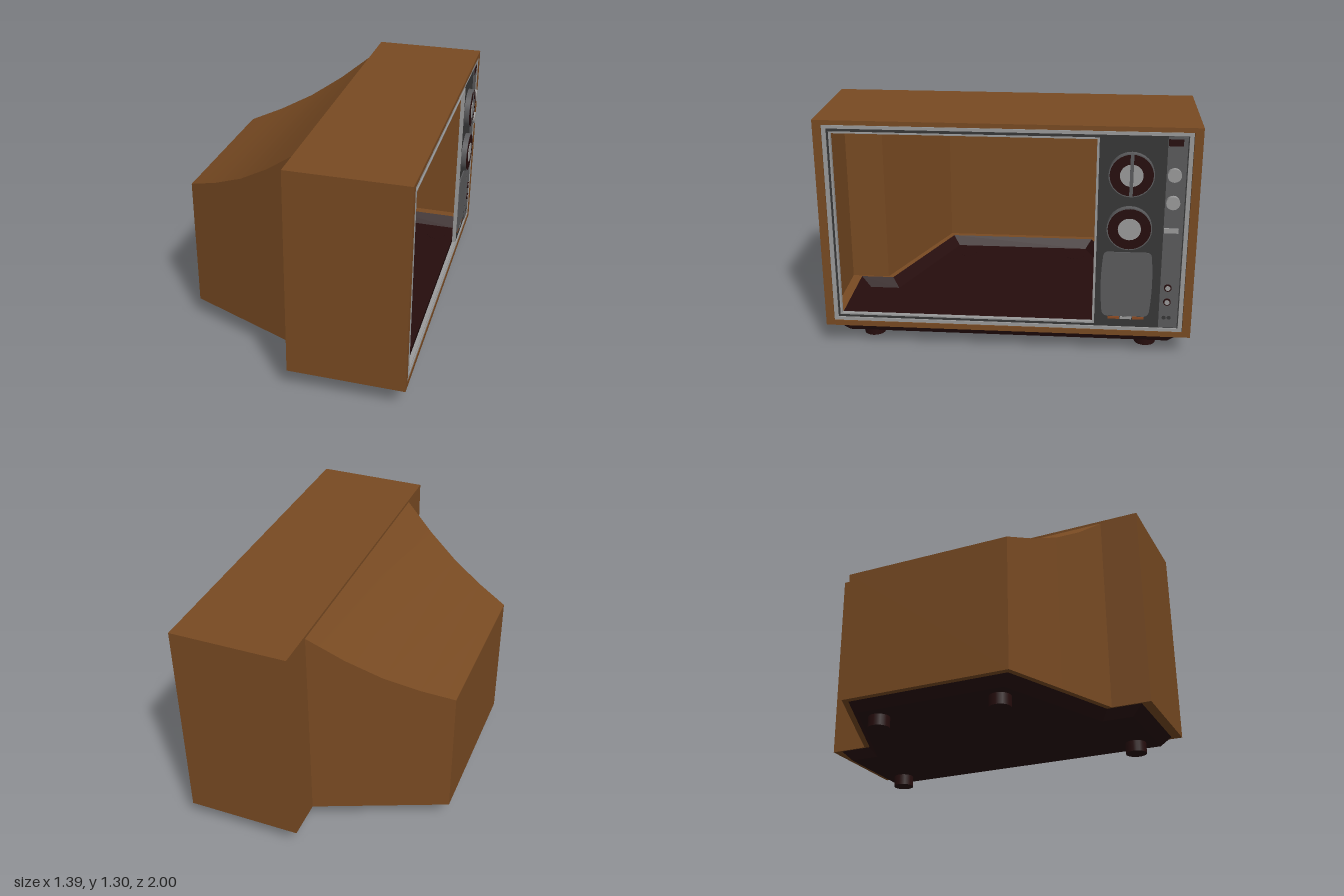
import * as THREE from 'three';

const mat = (name, color, side = THREE.FrontSide) => {
  const m = new THREE.MeshStandardMaterial({ color, side });
  m.name = name;
  return m;
};

export function createModel() {
  const wood = mat('wood', 0x784a22, THREE.DoubleSide);
  const maroon = mat('dark maroon', 0x260d0d, THREE.DoubleSide);
  const charcoal = mat('charcoal', 0x373737);
  const grey = mat('mid grey', 0x5a5a5c);
  const silver = mat('silver', 0x9a9a9a);
  const orange = mat('burnt orange', 0x8a4a24);

  // Built with the screen facing +z, then turned to face +x
  const model = new THREE.Group();
  model.name = 'television';
  const tv = new THREE.Group();
  tv.name = 'televisionBody';
  tv.rotation.y = Math.PI / 2;
  model.add(tv);

  const add = (name, geo, material, x = 0, y = 0, z = 0) => {
    const m = new THREE.Mesh(geo, material);
    m.name = name;
    m.position.set(x, y, z);
    tv.add(m);
    return m;
  };
  const poly = (pts) => new THREE.Shape(pts.map(([x, y]) => new THREE.Vector2(x, y)));
  const rect = (x0, x1, y0, y1) => poly([[x0, y0], [x1, y0], [x1, y1], [x0, y1]]);
  const slab = (shape, depth) => new THREE.ExtrudeGeometry(shape, { depth, bevelEnabled: false, curveSegments: 8 });
  const frame = (name, o, w, z0, z1, material) => {
    const s = rect(...o);
    s.holes.push(rect(o[0] + w[0], o[1] - w[1], o[2] + w[2], o[3] - w[3]));
    return add(name, slab(s, z1 - z0), material, 0, 0, z0);
  };
  // Sheet between two polylines of equal length
  const sheet = (a, b, flat = false) => {
    const pos = [], idx = [];
    a.forEach((p, i) => pos.push(...p, ...b[i]));
    for (let i = 0; i < a.length - 1; i++) {
      const k = i * 2;
      idx.push(k, k + 1, k + 2, k + 1, k + 3, k + 2);
    }
    let g = new THREE.BufferGeometry();
    g.setAttribute('position', new THREE.Float32BufferAttribute(pos, 3));
    g.setIndex(idx);
    if (flat) g = g.toNonIndexed();
    g.computeVertexNormals();
    return g;
  };

  // Main cabinet walls
  const F = 0.665, M = 0.02, B = -0.695, Y0 = 0.12, Y1 = 1.3;
  add('cabinetWalls', sheet(
    [[-1, Y0, M], [-1, Y1, M], [1, Y1, M], [1, Y0, M]],
    [[-1, Y0, F], [-1, Y1, F], [1, Y1, F], [1, Y0, F]], true), wood);
  add('cabinetBack', new THREE.ShapeGeometry(poly([
    [-1, Y0], [-0.78, Y0], [-0.78, 1.285], [0.78, 1.285], [0.78, Y0], [1, Y0], [1, Y1], [-1, Y1]])), wood, 0, 0, M);
  frame('cabinetRim', [-1, 1, Y0, Y1], [0.045, 0.045, 0.03, 0.025], 0.635, F, wood);

  // Tapered rear housing with a swept top
  const profile = [[M, 1.285], [-0.16, 1.145], [-0.34, 1.03], [-0.52, 0.945], [B, 0.88]];
  const half = (d) => 0.78 + (d - M) * 0.295 / (M - B);
  const edge = (s) => profile.map(([d, y]) => [s * half(d), y, d]);
  const foot = (s) => profile.map(([d]) => [s * half(d), Y0, d]);
  add('rearTop', sheet(edge(-1), edge(1)), wood);
  for (const s of [-1, 1]) add(s < 0 ? 'rearSideLeft' : 'rearSideRight', sheet(edge(s), foot(s)), wood);
  add('rearPanel', new THREE.ShapeGeometry(rect(-half(B), half(B), Y0, 0.88)), wood, 0, 0, B);

  // Underside lip and sunken base tray
  const outline = (front, mid, back, wide, neck, end) => {
    const r = [[wide, front], [wide, mid], [neck, mid], [end, back]];
    return [...r, ...r.map(([x, z]) => [-x, z]).reverse()];
  };
  const trayTop = outline(0.63, 0.03, -0.66, 0.945, 0.75, 0.465);
  const trayLow = outline(0.6, 0.06, -0.625, 0.885, 0.71, 0.425);
  const lip = poly(outline(F, M, B, 1, 0.78, half(B)));
  lip.holes.push(poly(trayTop));
  add('undersideLip', new THREE.ShapeGeometry(lip).rotateX(Math.PI / 2), wood, 0, Y0, 0);
  const loop = (pts, y) => [...pts, pts[0]].map(([x, z]) => [x, y, z]);
  add('trayWalls', sheet(loop(trayTop, Y0), loop(trayLow, 0.063), true), maroon);
  add('trayFloor', new THREE.ShapeGeometry(poly(trayLow)).rotateX(Math.PI / 2), maroon, 0, 0.063, 0);
  for (const s of [-1, 1]) {
    add('frontFoot', new THREE.CylinderGeometry(0.06, 0.06, 0.064, 20), maroon, s * 0.768, 0.032, 0.487);
    add('rearFoot', new THREE.CylinderGeometry(0.06, 0.06, 0.064, 20), maroon, s * 0.357, 0.032, -0.515);
  }

  // Front bezel, trims and control panel
  const O = [-0.955, 0.955, 0.15, 1.275];
  frame('bezel', O, [0.04, 0.48, 0.04, 0.04], 0.64, 0.655, charcoal);
  frame('outerTrim', [-0.953, 0.953, 0.152, 1.273], [0.022, 0.022, 0.018, 0.018], 0.65, 0.663, silver);
  frame('screenTrim', [-0.918, 0.48, 0.187, 1.238], [0.01, 0.012, 0.008, 0.008], 0.64, 0.662, silver);
  add('controlStrip', slab(rect(0.825, 0.925, 0.175, 1.25), 0.005), grey, 0, 0, 0.655);

  // Speaker panel with gently bowed sides
  const sp = new THREE.Shape();
  sp.moveTo(0.545, 0.235);
  sp.lineTo(0.745, 0.235);
  sp.quadraticCurveTo(0.77, 0.24, 0.773, 0.27);
  sp.quadraticCurveTo(0.79, 0.43, 0.773, 0.585);
  sp.quadraticCurveTo(0.77, 0.61, 0.745, 0.61);
  sp.lineTo(0.545, 0.61);
  sp.quadraticCurveTo(0.52, 0.61, 0.517, 0.585);
  sp.quadraticCurveTo(0.5, 0.43, 0.517, 0.27);
  sp.quadraticCurveTo(0.52, 0.24, 0.545, 0.235);
  add('speakerPanel', slab(sp, 0.006), grey, 0, 0, 0.655);
  [orange, silver, orange].forEach((m, i) =>
    add('badgeBar', new THREE.BoxGeometry(0.062, 0.014, 0.006), m, 0.583 + i * 0.066, 0.224, 0.657));

  // Round parts facing forward, placed by the depth of their back and front
  const disc = (name, r, x, y, z0, z1, m, seg = 32) =>
    add(name, new THREE.CylinderGeometry(r, r, z1 - z0, seg).rotateX(Math.PI / 2), m, x, y, (z0 + z1) / 2);

  // Two channel dials
  for (const y of [1.048, 0.753]) {
    disc('dialBody', 0.118, 0.647, y, 0.655, 0.686, grey);
    disc('dialFace', 0.112, 0.647, y, 0.684, 0.688, maroon);
    disc('dialCap', 0.06, 0.647, y, 0.684, 0.69, silver);
  }
  add('dialGrip', new THREE.BoxGeometry(0.018, 0.225, 0.01), grey, 0.647, 1.048, 0.687);

  // Small controls on the strip
  add('indicator', new THREE.BoxGeometry(0.075, 0.036, 0.006), maroon, 0.865, 1.22, 0.66);
  for (const y of [1.05, 0.9]) disc('smallKnob', 0.036, 0.865, y, 0.655, 0.682, silver, 20);
  add('slider', new THREE.BoxGeometry(0.075, 0.026, 0.014), silver, 0.865, 0.742, 0.662);
  for (const y of [0.413, 0.33]) {
    disc('jackRing', 0.02, 0.865, y, 0.655, 0.669, maroon, 16);
    disc('jackCentre', 0.014, 0.865, y, 0.668, 0.671, silver, 16);
  }
  for (const x of [0.853, 0.88]) disc('pinSocket', 0.011, x, 0.235, 0.657, 0.663, charcoal, 12);

  return model;
}
